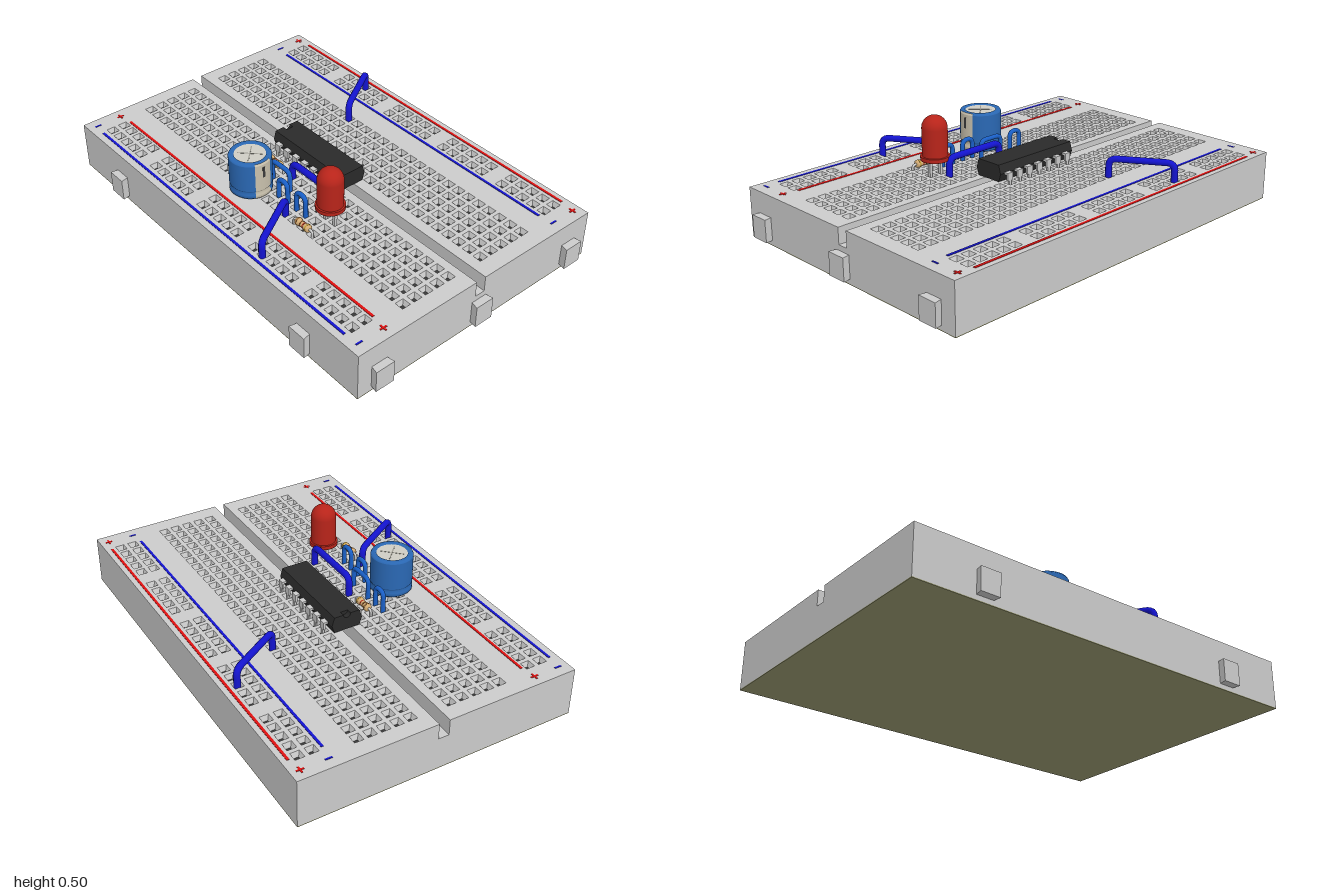
import * as THREE from 'three';
import { mergeGeometries } from 'three/addons/utils/BufferGeometryUtils.js';

const TOP = 0.23, PITCH = 0.061;
const X0 = -1, X1 = 0.965, Z0 = -0.675, Z1 = 0.64;
const mat = (color, opts = {}) => new THREE.MeshStandardMaterial({ color, ...opts });
const GREY = mat(0xcccccc), DARK = mat(0x3a3a3a), RED = mat(0xe01010), BLUE = mat(0x1414d0);
const BLACK = mat(0x2a2a2a, { flatShading: true }), METAL = mat(0xcccccc);
const colX = k => -0.905 + k * PITCH;      // terminal column, 0..29
const V = (x, y, z) => new THREE.Vector3(x, y, z);

function add(parent, name, geometry, material, x = 0, y = 0, z = 0) {
  const m = new THREE.Mesh(geometry, material);
  m.name = name;
  m.position.set(x, y, z);
  parent.add(m);
  return m;
}
const box = (x0, x1, y0, y1, z0, z1) =>
  new THREE.BoxGeometry(x1 - x0, y1 - y0, z1 - z0).translate((x0 + x1) / 2, (y0 + y1) / 2, (z0 + z1) / 2);
const lathe = (pts, seg = 40, start = 0, len = Math.PI * 2) =>
  new THREE.LatheGeometry(pts.map(p => new THREE.Vector2(...p)), seg, start, len);

// Tube that follows straight runs with rounded corners
function bentTube(points, bend, radius, seg = 40) {
  const path = new THREE.CurvePath();
  let from = points[0];
  for (let i = 1; i < points.length - 1; i++) {
    const p = points[i];
    const a = p.clone().add(points[i - 1].clone().sub(p).setLength(bend));
    const b = p.clone().add(points[i + 1].clone().sub(p).setLength(bend));
    path.add(new THREE.LineCurve3(from, a));
    path.add(new THREE.QuadraticBezierCurve3(a, p, b));
    from = b;
  }
  path.add(new THREE.LineCurve3(from, points[points.length - 1]));
  return new THREE.TubeGeometry(path, seg, radius, 10, false);
}
const staple = (xa, za, xb, zb, h, bend, r) =>
  bentTube([V(xa, TOP - 0.02, za), V(xa, h, za), V(xb, h, zb), V(xb, TOP - 0.02, zb)], bend, r);

// All contact hole centres as [x, z]
function holeCentres() {
  const out = [];
  for (let r = 0; r < 5; r++)
    for (let k = 0; k < 30; k++)
      out.push([colX(k), -0.36 + r * 0.0615], [colX(k), 0.072 + r * 0.062]);
  for (const z of [-0.602, -0.54, 0.492, 0.555])
    for (let g = 0; g < 5; g++)
      for (let i = 0; i < 5; i++) out.push([-0.875 + (g * 6 + i) * PITCH, z]);
  return out;
}

function deck(z0, z1, centres) {
  const shape = new THREE.Shape([[X0, -z1], [X1, -z1], [X1, -z0], [X0, -z0]].map(p => new THREE.Vector2(...p)));
  const h = 0.021;
  for (const [x, z] of centres)
    if (z > z0 && z < z1)
      shape.holes.push(new THREE.Path([[x - h, -z - h], [x - h, -z + h], [x + h, -z + h], [x + h, -z - h]]
        .map(p => new THREE.Vector2(...p))));
  return new THREE.ExtrudeGeometry(shape, { depth: 0.075, bevelEnabled: false })
    .rotateX(-Math.PI / 2).translate(0, 0.155, 0);
}

function buildBoard() {
  const g = new THREE.Group();
  g.name = 'board';
  const centres = holeCentres();
  add(g, 'baseBlock', box(X0, X1, 0.004, 0.155, Z0, Z1), GREY);
  add(g, 'backingSheet', box(X0, X1, 0, 0.004, Z0, Z1), mat(0x9a9a72));
  add(g, 'rearDeck', deck(Z0, -0.04, centres), GREY);
  add(g, 'frontDeck', deck(0.01, Z1, centres), GREY);

  // Tapered hole mouths and their dark openings
  const s = Math.SQRT2, funnels = [], floors = [];
  for (const [x, z] of centres) {
    funnels.push(new THREE.CylinderGeometry(0.021 * s, 0.012 * s, 0.025, 4, 1, true, Math.PI / 4)
      .translate(x, TOP - 0.0125, z));
    floors.push(new THREE.PlaneGeometry(0.025, 0.025).rotateX(-Math.PI / 2).translate(x, TOP - 0.024, z));
  }
  add(g, 'holeFunnels', mergeGeometries(funnels), mat(0xcccccc, { flatShading: true, side: THREE.DoubleSide }));
  add(g, 'holeOpenings', mergeGeometries(floors), DARK);

  // Dovetail tabs on the front and on the +x end
  const tab = new THREE.Shape([[-0.038, -0.01], [0.038, -0.01], [0.047, 0.035], [-0.047, 0.035]]
    .map(p => new THREE.Vector2(...p)));
  const tabGeo = new THREE.ExtrudeGeometry(tab, { depth: 0.105, bevelEnabled: false })
    .rotateX(Math.PI / 2).translate(0, 0.13, 0);
  for (const x of [-0.675, 0.64]) add(g, 'frontTab', tabGeo, GREY, x, 0, Z1);
  for (const z of [0.53, -0.0125, -0.56]) add(g, 'endTab', tabGeo, GREY, X1, 0, z).rotation.y = Math.PI / 2;

  // Rail stripes with plus and minus marks
  const y0 = TOP - 0.001, y1 = TOP + 0.002;
  const mark = (name, m, x, z, w, d) => add(g, name, box(x - w / 2, x + w / 2, y0, y1, z - d / 2, z + d / 2), m);
  for (const [red, blue, plus, minus] of [[-0.645, -0.497, -0.633, -0.51], [0.455, 0.602, 0.467, 0.59]]) {
    mark('redStripe', RED, -0.02, red, 1.724, 0.012);
    mark('blueStripe', BLUE, -0.02, blue, 1.724, 0.012);
    for (const x of [-0.95, 0.912]) {
      mark('plusBar', RED, x, plus, 0.034, 0.008);
      mark('plusBar', RED, x, plus, 0.008, 0.034);
      mark('minusBar', BLUE, x, minus, 0.008, 0.032);
    }
  }
  return g;
}

function buildChip() {
  const g = new THREE.Group();
  g.name = 'chip';
  const zc = -0.021, xA = -0.285, xB = 0.172;
  const lower = [[-0.063, 0.235], [0.063, 0.235], [0.075, 0.272], [0.063, 0.312]];
  const upper = [[-0.063, 0.312], [-0.075, 0.272]];
  const notch = [];
  for (let i = 0; i <= 8; i++) {
    const a = Math.PI * i / 8;
    notch.push([0.018 * Math.cos(a), 0.312 - 0.018 * Math.sin(a)]);
  }
  // Profile is drawn in (-z, y) and swept along x
  const sweep = (pts, x0, x1) => new THREE.ExtrudeGeometry(
    new THREE.Shape(pts.map(p => new THREE.Vector2(...p))), { depth: x1 - x0, bevelEnabled: false })
    .rotateY(Math.PI / 2).translate(x0, 0, zc);
  add(g, 'chipBody', sweep([...lower, ...upper], xA + 0.025, xB), BLACK);
  add(g, 'chipNotchedEnd', sweep([...lower, ...notch, ...upper], xA, xA + 0.025), BLACK);
  for (let k = 11; k <= 17; k++)
    for (const s of [-1, 1]) {
      const x = colX(k), pin = new THREE.Group();
      pin.name = 'chipPin';
      pin.position.set(x, 0, zc);
      add(pin, 'pinShoulder', box(-0.016, 0.016, 0.266, 0.276, 0.06, 0.096), METAL);
      add(pin, 'pinBlade', box(-0.016, 0.016, 0.24, 0.276, 0.087, 0.096), METAL);
      add(pin, 'pinTip', box(-0.007, 0.007, 0.2, 0.24, 0.087, 0.096), METAL);
      pin.rotation.y = s > 0 ? 0 : Math.PI;
      g.add(pin);
    }
  return g;
}

function buildCapacitor() {
  const g = new THREE.Group();
  g.name = 'capacitor';
  g.position.set(-0.105, 0.235, 0.323);
  const side = [[0.088, 0], [0.096, 0.008], [0.096, 0.024], [0.089, 0.034], [0.096, 0.044],
    [0.096, 0.045], [0.096, 0.176], [0.096, 0.177], [0.091, 0.185]];
  add(g, 'capSleeve', lathe([[0, 0], ...side, [0.072, 0.185], [0.07, 0.18]], 48), mat(0x2a68b4));
  add(g, 'capTop', new THREE.CircleGeometry(0.073, 40).rotateX(-Math.PI / 2), mat(0xcfcdc4), 0, 0.181, 0);
  for (const a of [Math.PI / 4, -Math.PI / 4])
    add(g, 'capScore', new THREE.BoxGeometry(0.11, 0.002, 0.005), mat(0x9a988f), 0, 0.181, 0).rotation.y = a;
  // Polarity band facing +x
  const band = side.map(([r, y]) => [r + 0.0012, y]);
  add(g, 'capBand', lathe(band, 12, Math.PI / 2 - 0.43, 0.86), mat(0xc8c0ac, { side: THREE.DoubleSide }));
  add(g, 'capBandMark', box(0.092, 0.0985, 0.11, 0.162, -0.006, 0.006), DARK);
  for (const x of [-0.03, 0.03]) add(g, 'capLead', new THREE.CylinderGeometry(0.006, 0.006, 0.04, 8), METAL, x, -0.01, 0);
  return g;
}

function buildLed() {
  const g = new THREE.Group();
  g.name = 'lamp';
  g.position.set(0.287, 0, 0.2);
  const pts = [[0, 0.298], [0.066, 0.298], [0.066, 0.299], [0.066, 0.316], [0.066, 0.317], [0.058, 0.317], [0.058, 0.318]];
  for (let i = 0; i <= 10; i++) {
    const a = Math.PI / 2 * i / 10;
    pts.push([0.058 * Math.cos(a), 0.444 + 0.058 * Math.sin(a)]);
  }
  add(g, 'lampLens', lathe(pts), mat(0xb8241a));
  for (const x of [-0.03, 0.03]) add(g, 'lampLead', box(x - 0.007, x + 0.007, 0.2, 0.3, -0.007, 0.007), METAL);
  return g;
}

function buildResistor(x, z) {
  const g = new THREE.Group();
  g.name = 'resistor';
  g.position.set(x, 0, z);
  const y = 0.244, tan = mat(0xd8b078);
  const body = [[0, -0.043], [0.012, -0.043], [0.018, -0.037], [0.018, -0.022], [0.014, -0.016],
    [0.014, 0.016], [0.018, 0.022], [0.018, 0.037], [0.012, 0.043], [0, 0.043]];
  add(g, 'resistorBody', lathe(body, 20).rotateZ(-Math.PI / 2), tan, 0, y, 0);
  [[-0.029, 0x8a5a2a, 0.0186], [-0.008, 0x6a3a1a, 0.0146], [0.008, 0xb03020, 0.0146], [0.029, 0xc09a30, 0.0186]]
    .forEach(([bx, c, r]) => add(g, 'resistorBand',
      new THREE.CylinderGeometry(r, r, 0.006, 20).rotateZ(Math.PI / 2), mat(c), bx, y, 0));
  add(g, 'resistorLead', staple(-PITCH, 0, PITCH, 0, y, 0.012, 0.006), METAL);
  return g;
}

export function createModel() {
  const model = new THREE.Group();
  model.name = 'breadboardCircuit';
  model.add(buildBoard(), buildChip(), buildCapacitor(), buildLed());
  model.add(buildResistor(colX(12), 0.135), buildResistor(colX(19), 0.322));

  // Long jumper wires: x, z of both ends
  for (const w of [[-0.39, -0.605, -0.236, -0.36], [0.135, 0.322, 0.29, 0.568], [-0.045, 0.137, 0.26, 0.137]])
    add(model, 'jumperWire', staple(...w, 0.311, 0.035, 0.0155), BLUE);
  // Short links between neighbouring columns
  const link = mat(0x1a60c8);
  for (const [a, b, z] of [[11, 12, 0.197], [13, 15, 0.197], [15, 16, 0.258], [17, 18, 0.258]])
    add(model, 'linkWire', staple(colX(a), z, colX(b), z, 0.318, 0.029, 0.011), link);
  return model;
}
